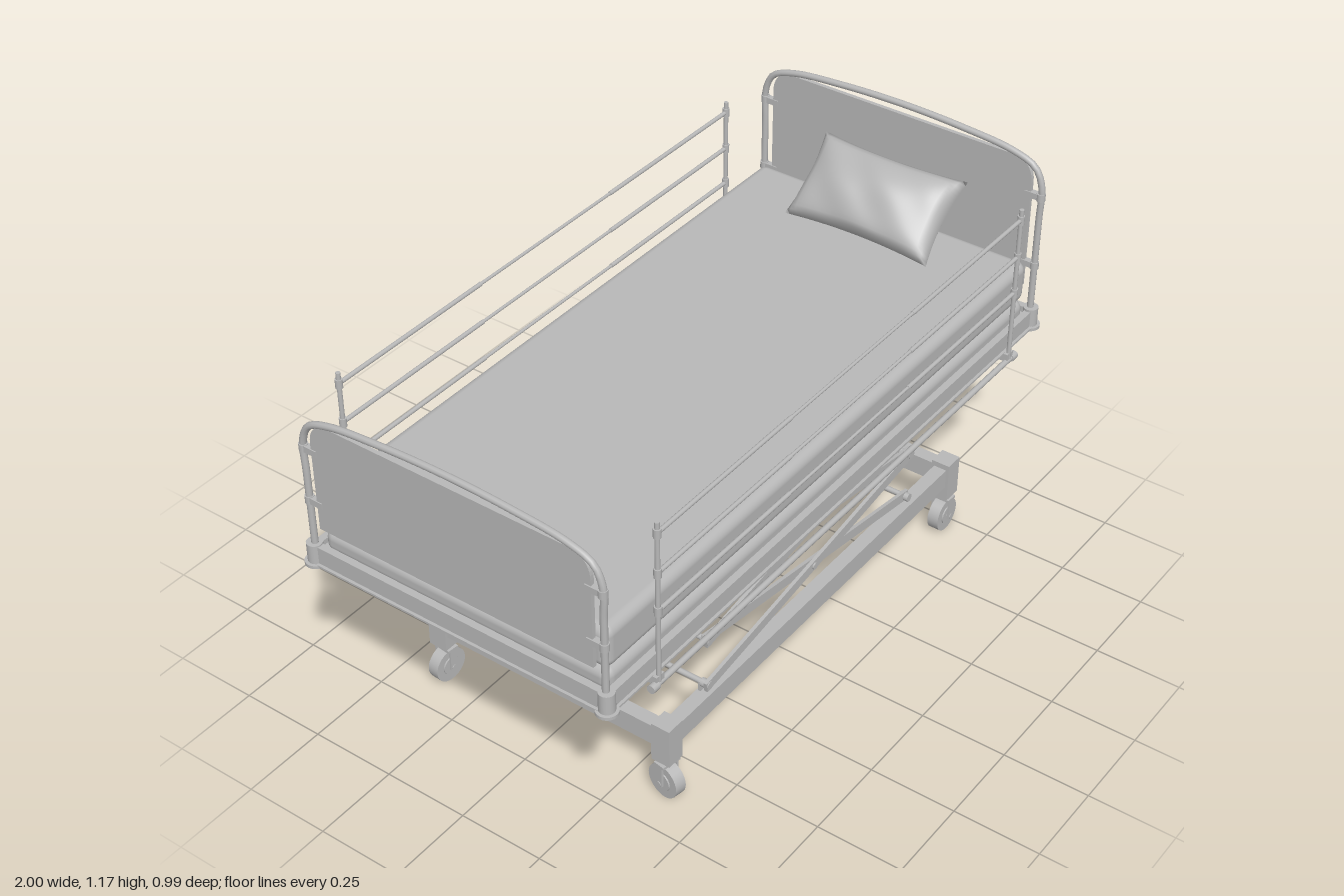
import * as THREE from 'three';
import { mergeVertices } from 'three/addons/utils/BufferGeometryUtils.js';
import { RoundedBoxGeometry } from 'three/addons/geometries/RoundedBoxGeometry.js';

const grey = new THREE.MeshStandardMaterial({ color: 0xb8b8b8 });
grey.name = 'light grey';

function add(parent, name, geometry, x = 0, y = 0, z = 0) {
  const mesh = new THREE.Mesh(geometry, grey);
  mesh.name = name;
  mesh.position.set(x, y, z);
  parent.add(mesh);
  return mesh;
}

const box = (parent, name, w, h, d, x, y, z) => add(parent, name, new THREE.BoxGeometry(w, h, d), x, y, z);

// Round rod between two points
function rod(parent, name, a, b, r, sides = 12) {
  const from = new THREE.Vector3(...a), to = new THREE.Vector3(...b);
  const dir = to.clone().sub(from);
  const mesh = add(parent, name, new THREE.CylinderGeometry(r, r, dir.length(), sides));
  mesh.position.copy(from).add(to).multiplyScalar(0.5);
  mesh.quaternion.setFromUnitVectors(new THREE.Vector3(0, 1, 0), dir.normalize());
  return mesh;
}

function group(parent, name) {
  const g = new THREE.Group();
  g.name = name;
  parent.add(g);
  return g;
}

// Swivelling wheel with its fork
function caster(parent, x, z, turn) {
  const g = group(parent, 'caster');
  g.position.set(x, 0, z);
  g.rotation.y = turn;
  rod(g, 'casterStem', [0, 0.11, 0], [0, 0.14, 0], 0.01);
  box(g, 'forkTop', 0.035, 0.008, 0.06, 0, 0.113, 0);
  for (const s of [-1, 1]) box(g, 'forkArm', 0.022, 0.07, 0.006, 0, 0.08, s * 0.027);
  rod(g, 'axle', [0, 0.051, -0.032], [0, 0.051, 0.032], 0.008);
  rod(g, 'tyre', [0, 0.051, -0.017], [0, 0.051, 0.017], 0.051, 28);
  rod(g, 'hub', [0, 0.051, -0.021], [0, 0.051, 0.021], 0.028, 20);
}

// Bed end: arched tube, rounded panel and clips
function bedEnd(parent, name, side, h, clips) {
  const g = group(parent, name);
  const x = side * 0.97;
  const half = [[0.655, 0.455], [0.8, 0.455], [h - 0.2, 0.455], [h - 0.107, 0.455], [h - 0.052, 0.43],
    [h - 0.024, 0.36], [h - 0.007, 0.2]];
  const points = [...half, [h, 0], ...half.map(([y, z]) => [y, -z]).reverse()]
    .map(([y, z]) => new THREE.Vector3(x, y, z));
  add(g, 'archTube', new THREE.TubeGeometry(new THREE.CatmullRomCurve3(points), 80, 0.0095, 10));

  const w = 0.425, low = 0.722, top = h - 0.03, r = 0.07;
  const shape = new THREE.Shape();
  shape.moveTo(-w, low);
  shape.lineTo(w, low);
  shape.lineTo(w, top - r);
  shape.quadraticCurveTo(w, top, w - r, top);
  shape.lineTo(-w + r, top);
  shape.quadraticCurveTo(-w, top, -w, top - r);
  const panel = new THREE.ExtrudeGeometry(shape, { depth: 0.012, bevelEnabled: false, curveSegments: 10 });
  panel.rotateY(Math.PI / 2);
  add(g, 'endPanel', panel, x - 0.006);

  for (const s of [-1, 1]) {
    for (const y of clips) {
      rod(g, 'clipCollar', [x, y - 0.011, s * 0.455], [x, y + 0.011, s * 0.455], 0.0125);
      box(g, 'panelClip', 0.018, 0.018, 0.045, x, y, s * 0.43);
    }
  }
}

// Side guard: three telescoping bars, two uprights and the lower slide
function sideGuard(parent, s) {
  const g = group(parent, s > 0 ? 'frontGuard' : 'backGuard');
  const z = s * 0.483;
  for (const x of [-0.805, 0.812]) {
    rod(g, 'guardUpright', [x, 0.58, z], [x, 1.07, z], 0.0065);
    for (const y of [1.038, 0.92, 0.805])
      rod(g, 'guardCollar', [x, y - 0.013, z], [x, y + 0.013, z], 0.01);
    box(g, 'slideBracket', 0.03, 0.024, 0.04, x, 0.594, z - s * 0.015);
  }
  for (const y of [1.038, 0.92, 0.805]) {
    rod(g, 'guardBar', [-0.805, y, z], [0.812, y, z], 0.0045);
    rod(g, 'guardSleeve', [-0.805, y, z], [-0.27, y, z], 0.0062);
    rod(g, 'guardSleeve', [0.27, y, z], [0.812, y, z], 0.0062);
  }
  rod(g, 'lowerSlide', [-0.83, 0.58, z], [0.84, 0.58, z], 0.0085);
  for (const x of [-0.825, 0.835]) rod(g, 'slideEnd', [x - 0.012, 0.58, z], [x + 0.012, 0.58, z], 0.012);
}

// Scissor lift side: two stacked crosses of flat arms
function scissorSide(parent, s) {
  const g = group(parent, 'scissorSide');
  const left = -0.46, right = 0.485, levels = [0.255, 0.406, 0.557];
  for (let i = 0; i < 2; i++) {
    for (const d of [-1, 1]) {
      const dx = right - left, dy = d * (levels[1] - levels[0]);
      const arm = box(g, 'scissorArm', Math.hypot(dx, dy) + 0.025, 0.03, 0.01,
        (left + right) / 2, (levels[i] + levels[i + 1]) / 2, s * (0.373 + d * 0.0055));
      arm.rotation.z = Math.atan2(dy, dx);
    }
    const my = (levels[i] + levels[i + 1]) / 2;
    rod(g, 'pivotBolt', [0.0125, my, s * 0.358], [0.0125, my, s * 0.388], 0.01);
  }
  for (const x of [left, right]) {
    box(g, 'upperBracket', 0.03, 0.045, 0.008, x, 0.58, s * 0.388);
    box(g, 'bracketPlate', 0.05, 0.008, 0.05, x, 0.6, s * 0.38);
    box(g, 'lowerBracket', 0.022, 0.04, 0.008, x, 0.24, s * 0.358);
  }
}

// Pinched cushion made by reshaping a subdivided box
function pillowGeometry() {
  let geo = new THREE.BoxGeometry(2, 2, 2, 22, 1, 30);
  geo.deleteAttribute('uv');
  geo.deleteAttribute('normal');
  const p = geo.attributes.position;
  for (let i = 0; i < p.count; i++) {
    const u = p.getX(i), v = p.getZ(i), sign = Math.sign(p.getY(i));
    const puff = Math.sqrt(Math.max(0, (1 - u * u) * (1 - v * v)));
    const crease = 1 + 0.1 * Math.sin(4 * u + 3 * v) * Math.cos(5 * v - sign);
    p.setXYZ(i, 0.132 * u * (1 - 0.1 * (1 - v * v)),
      sign * 0.073 * Math.pow(puff, 0.85) * crease,
      0.235 * v * (1 - 0.06 * (1 - u * u)));
  }
  geo = mergeVertices(geo, 1e-5);
  geo.computeVertexNormals();
  return geo;
}

export function createModel() {
  const bed = new THREE.Group();
  bed.name = 'adjustableBed';

  // Mattress, pad and pillow
  add(bed, 'mattress', new RoundedBoxGeometry(1.9, 0.125, 0.892, 4, 0.028), 0, 0.758, 0);
  add(bed, 'mattressPad', new RoundedBoxGeometry(1.9, 0.07, 0.892, 4, 0.028), 0, 0.66, 0);
  const pillow = add(bed, 'pillow', pillowGeometry(), 0.855, 0.908, 0);
  pillow.rotation.z = 0.7;

  // Deck with rim beams and corner sockets
  box(bed, 'deck', 1.93, 0.03, 0.91, 0, 0.625, 0);
  for (const s of [-1, 1]) {
    box(bed, 'sideBeam', 1.94, 0.05, 0.02, 0, 0.63, s * 0.457);
    box(bed, 'sideBeamFoot', 1.94, 0.006, 0.036, 0, 0.604, s * 0.457);
    box(bed, 'endBeam', 0.02, 0.056, 0.91, s * 0.97, 0.63, 0);
    box(bed, 'endBeamFoot', 0.036, 0.006, 0.91, s * 0.97, 0.604, 0);
    for (const t of [-1, 1]) {
      rod(bed, 'cornerSocket', [s * 0.97, 0.605, t * 0.457], [s * 0.97, 0.662, t * 0.457], 0.0215, 20);
      rod(bed, 'cornerFlange', [s * 0.97, 0.597, t * 0.457], [s * 0.97, 0.606, t * 0.457], 0.03, 20);
    }
  }

  bedEnd(bed, 'headEnd', 1, 1.156, [0.8, 1.02]);
  bedEnd(bed, 'footEnd', -1, 1.084, [0.8, 0.96]);
  for (const s of [-1, 1]) sideGuard(bed, s);

  // Scissor lift and its cross rods
  const lift = group(bed, 'scissorLift');
  for (const s of [-1, 1]) scissorSide(lift, s);
  for (const x of [-0.46, 0.485])
    for (const y of [0.255, 0.406, 0.557]) {
      rod(lift, 'crossRod', [x, y, -0.378], [x, y, 0.378], 0.008);
      for (const s of [-1, 1]) rod(lift, 'rodEnd', [x, y, s * 0.36], [x, y, s * 0.386], 0.0125);
    }

  // Wheeled base frame
  const base = group(bed, 'baseFrame');
  for (const s of [-1, 1]) box(base, 'baseSideRail', 1.3, 0.062, 0.04, 0.04, 0.2, s * 0.37);
  for (const x of [-0.626, 0.706]) {
    box(base, 'baseEndRail', 0.04, 0.062, 0.7, x, 0.2, 0);
    for (const s of [-1, 1]) box(base, 'baseCorner', 0.057, 0.122, 0.057, x, 0.187, s * 0.37);
  }
  caster(base, 0.706, 0.37, 0);
  caster(base, 0.706, -0.37, 0.12);
  caster(base, -0.626, -0.37, -0.1);
  caster(base, -0.626, 0.37, 1.4);

  return bed;
}
